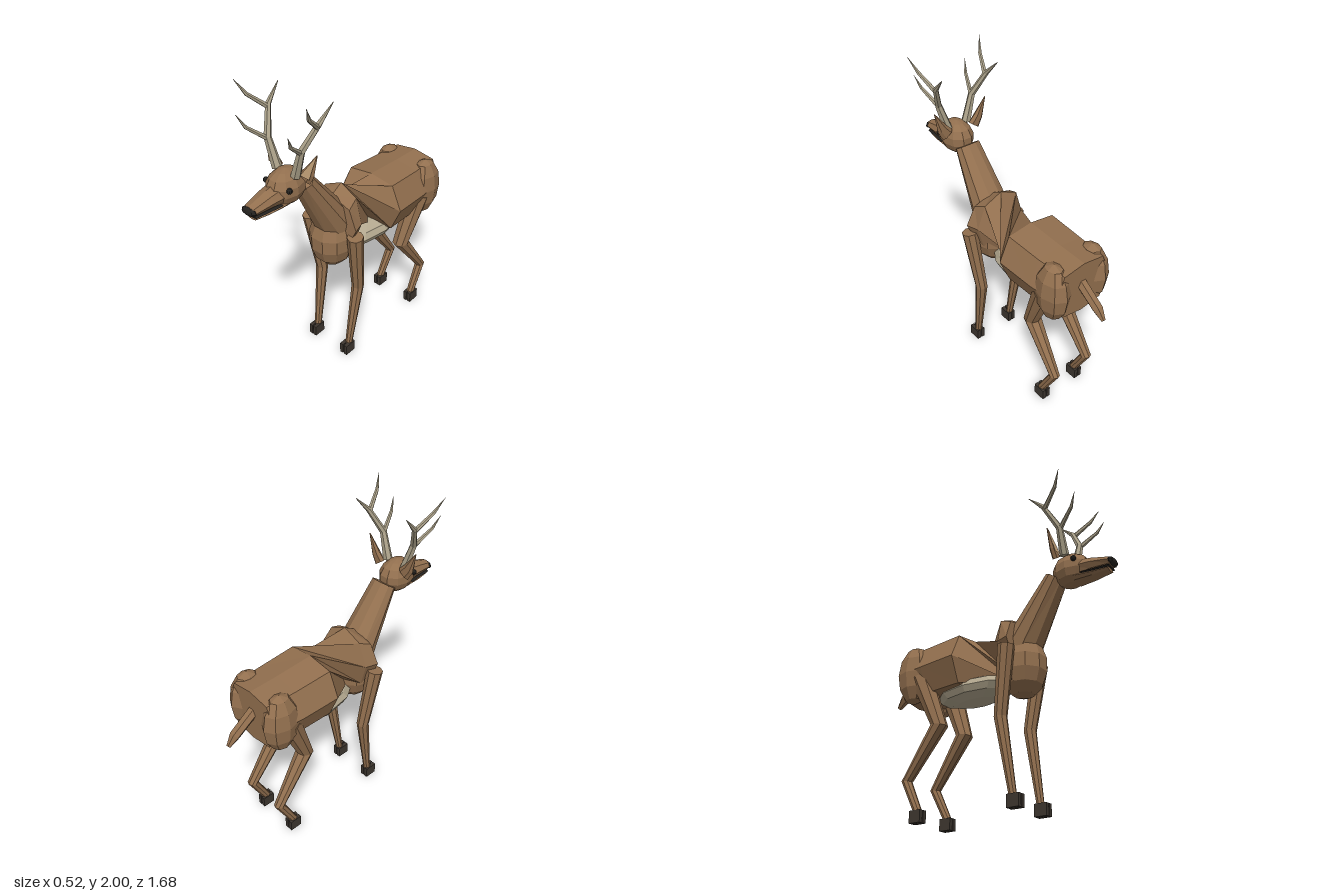
import * as THREE from 'three';

const mat = (name, color, side = THREE.FrontSide) => {
  const m = new THREE.MeshStandardMaterial({ color, side });
  m.name = name;
  return m;
};
const V = (x, y, z) => new THREE.Vector3(x, y, z);

// Hard-faceted version of any geometry
function faceted(geo) {
  const g = geo.index ? geo.toNonIndexed() : geo;
  g.computeVertexNormals();
  return g;
}

// Skin between rings of equal point count, capped at both ends
function loft(rings) {
  const n = rings[0].length, pos = [], idx = [];
  rings.forEach(r => r.forEach(p => pos.push(p.x, p.y, p.z)));
  for (let i = 0; i < rings.length - 1; i++) {
    for (let j = 0; j < n; j++) {
      const a = i * n + j, b = i * n + (j + 1) % n;
      idx.push(a, b, b + n, a, b + n, a + n);
    }
  }
  const last = (rings.length - 1) * n;
  for (let j = 1; j < n - 1; j++) {
    idx.push(0, j + 1, j, last, last + j, last + j + 1);
  }
  const g = new THREE.BufferGeometry();
  g.setAttribute('position', new THREE.Float32BufferAttribute(pos, 3));
  g.setIndex(idx);
  return faceted(g);
}

// Tapered limb through points; radii are numbers or [across, along] pairs
function limb(points, radii, sides = 8) {
  const rings = points.map((p, i) => {
    const t = V(0, 0, 0);
    if (i > 0) t.add(p.clone().sub(points[i - 1]).normalize());
    if (i < points.length - 1) t.add(points[i + 1].clone().sub(p).normalize());
    t.normalize();
    const u = V(1, 0, 0).addScaledVector(t, -t.x).normalize();
    const v = t.clone().cross(u);
    const [ru, rv] = [radii[i]].flat().length > 1 ? radii[i] : [radii[i], radii[i]];
    return Array.from({ length: sides }, (_, j) => {
      const a = (j / sides) * Math.PI * 2;
      return p.clone().addScaledVector(u, ru * Math.cos(a)).addScaledVector(v, rv * Math.sin(a));
    });
  });
  return loft(rings);
}

function ellipsoid(c, rx, ry, rz, w = 8, h = 6) {
  return faceted(new THREE.SphereGeometry(1, w, h).scale(rx, ry, rz).translate(c.x, c.y, c.z));
}

// Eight-sided body section facing +z, turned by a given angle
function section(z, y, rx, ry, turn = 0, power = 1, lean = 0) {
  return Array.from({ length: 8 }, (_, j) => {
    const a = (j / 8) * Math.PI * 2 + turn, s = Math.sin(a);
    return V(rx * Math.cos(a), y + ry * Math.sign(s) * Math.abs(s) ** power, z - lean * s);
  });
}

export function createModel() {
  const brown = mat('brown coat', 0x93704f);
  const pale = mat('pale belly', 0xb3a88f);
  const horn = mat('antler horn', 0xaba189);
  const tan = mat('inner ear tan', 0xc2a078, THREE.DoubleSide);
  const dark = mat('dark hoof', 0x3d362f);
  const black = mat('black nose and eyes', 0x24221f);

  const model = new THREE.Group();
  model.name = 'deer';
  const add = (name, geo, material) => {
    const m = new THREE.Mesh(geo, material);
    m.name = name;
    model.add(m);
  };

  // Trunk, with a quarter twist between loins and shoulders
  const q = Math.PI / 2;
  add('body', loft([
    section(-0.65, 0.965, 0.21, 0.175, 0, 0.4),
    section(-0.45, 0.965, 0.23, 0.18, 0, 0.4),
    section(-0.19, 0.975, 0.24, 0.185, 0, 0.4),
    section(0.11, 1.01, 0.175, 0.22, q, 0.9, 0.015),
    section(0.19, 1.01, 0.2, 0.17, q, 0.9, 0.01),
  ]), brown);
  add('chest', ellipsoid(V(0, 0.88, 0.18), 0.145, 0.2, 0.15, 10, 7), brown);
  add('belly', ellipsoid(V(0, 0.8, -0.17), 0.15, 0.08, 0.3, 10, 6), pale);
  add('neck', limb([V(0, 1.0, 0.17), V(0, 1.41, 0.43)], [[0.13, 0.12], [0.085, 0.06]], 10), brown);
  add('tail', limb([V(0, 1.0, -0.62), V(0, 0.89, -0.78), V(0, 0.835, -0.83)],
    [0.035, 0.033, 0.014], 6), brown);

  // Head
  add('head', ellipsoid(V(0, 1.43, 0.545), 0.1, 0.11, 0.128, 10, 7), brown);
  add('muzzle', limb([V(0, 1.415, 0.58), V(0, 1.412, 0.69), V(0, 1.396, 0.815)],
    [[0.075, 0.07], [0.066, 0.05], [0.048, 0.03]]), brown);
  add('lowerJaw', limb([V(0, 1.355, 0.58), V(0, 1.348, 0.7), V(0, 1.35, 0.8)],
    [[0.065, 0.03], [0.052, 0.02], [0.036, 0.013]]), brown);
  add('mouth', limb([V(0, 1.364, 0.63), V(0, 1.364, 0.808)],
    [[0.066, 0.006], [0.044, 0.006]]), black);
  add('nose', ellipsoid(V(0, 1.397, 0.816), 0.055, 0.026, 0.024), black);

  for (const s of [1, -1]) {
    const side = s > 0 ? 'left' : 'right';
    const P = (x, y, z) => V(s * x, y, z);

    add(side + 'Eye', ellipsoid(P(0.09, 1.455, 0.605), 0.017, 0.018, 0.018), black);

    // Ear with its pale inside
    add(side + 'Ear', limb([P(0.1, 1.49, 0.495), P(0.137, 1.54, 0.495), P(0.19, 1.66, 0.49)],
      [[0.045, 0.018], [0.036, 0.016], [0.003, 0.003]], 6), brown);
    add(side + 'InnerEar', new THREE.BufferGeometry().setFromPoints(
      s > 0 ? [P(0.085, 1.51, 0.519), P(0.155, 1.51, 0.519), P(0.188, 1.655, 0.496)]
        : [P(0.155, 1.51, 0.519), P(0.085, 1.51, 0.519), P(0.188, 1.655, 0.496)]), tan);
    model.children.at(-1).geometry.computeVertexNormals();

    // Antler: main beam with two forward tines and a rear tip
    add(side + 'AntlerBeam', limb([P(0.07, 1.51, 0.535), P(0.125, 1.68, 0.54),
      P(0.185, 1.83, 0.465), P(0.2, 1.925, 0.37)], [0.03, 0.022, 0.017, 0.002], 6), horn);
    add(side + 'AntlerTopTine', limb([P(0.182, 1.815, 0.472), P(0.225, 1.91, 0.575),
      P(0.26, 2.0, 0.625)], [0.016, 0.012, 0.001], 6), horn);
    add(side + 'AntlerFrontTine', limb([P(0.122, 1.67, 0.54), P(0.165, 1.765, 0.65),
      P(0.19, 1.845, 0.69)], [0.016, 0.011, 0.001], 6), horn);

    // Legs
    add(side + 'FrontLeg', limb([P(0.186, 0.96, 0.18), P(0.155, 0.53, 0.118), P(0.14, 0.06, 0.19)],
      [0.052, 0.04, 0.023]), brown);
    add(side + 'Haunch', ellipsoid(P(0.15, 0.957, -0.56), 0.092, 0.2, 0.125), brown);
    add(side + 'HindLeg', limb([P(0.15, 0.92, -0.5), P(0.125, 0.585, -0.365),
      P(0.135, 0.265, -0.597), P(0.14, 0.06, -0.49)], [0.075, 0.055, 0.034, 0.026]), brown);

    // Cloven hooves
    for (const [leg, z] of [['Front', 0.203], ['Hind', -0.495]]) {
      for (const dx of [-0.016, 0.016]) {
        add(side + leg + 'Hoof', new THREE.BoxGeometry(0.025, 0.075, 0.083)
          .translate(s * 0.14 + dx, 0.0375, z), dark);
      }
    }
  }
  return model;
}
